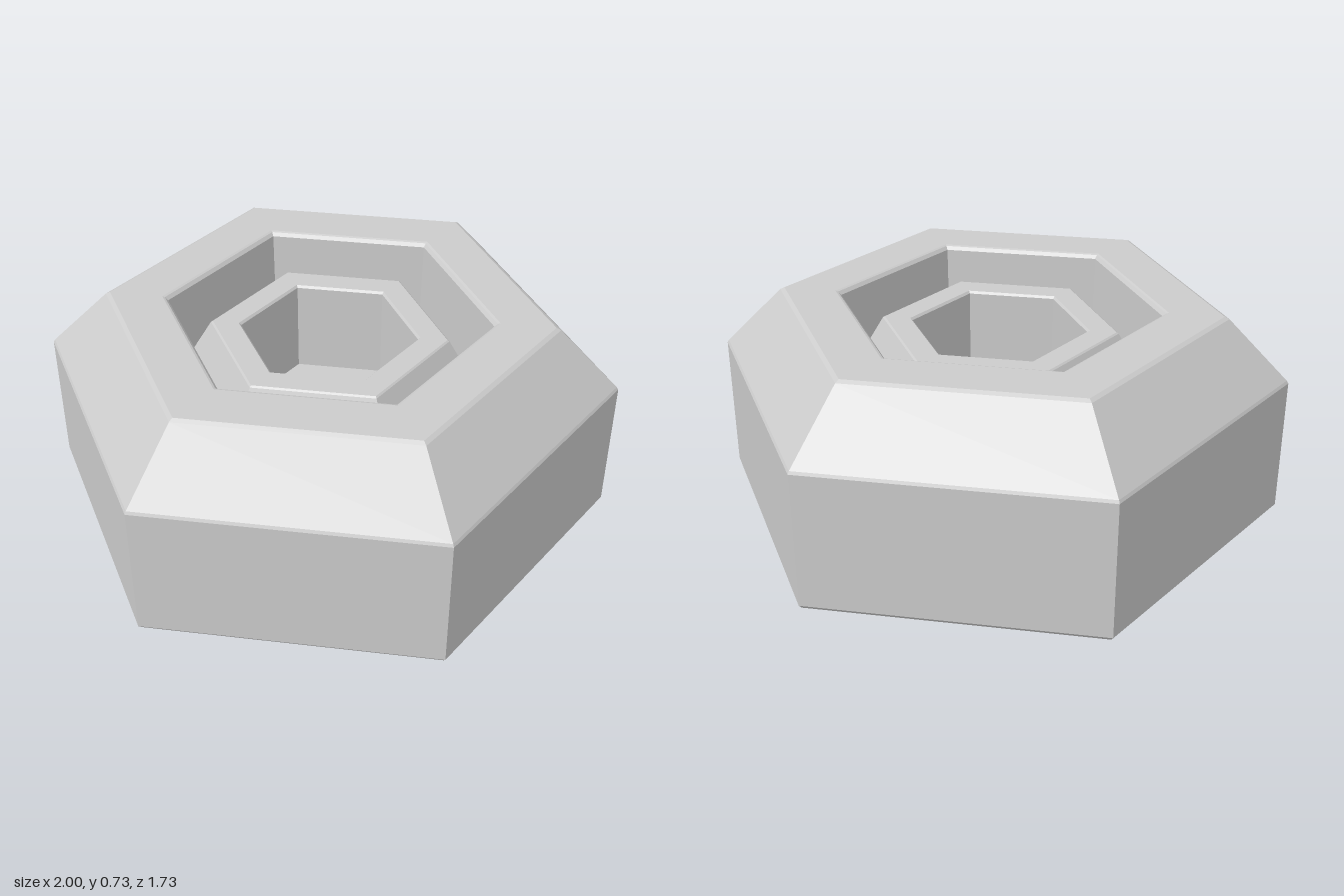
import * as THREE from 'three';

const material = new THREE.MeshStandardMaterial({ color: 0xcccccc, flatShading: true });

// Six-sided lathe with corners on the x axis; profile is [corner radius, height]
function hexPart(name, profile) {
  const points = profile.map(([r, y]) => new THREE.Vector2(r, y));
  const mesh = new THREE.Mesh(new THREE.LatheGeometry(points, 6, Math.PI / 2), material);
  mesh.name = name;
  return mesh;
}

export function createModel() {
  const model = new THREE.Group();
  model.name = 'hexNut';

  // Closed base, straight sides, sloped shoulder and bevelled rim down into the groove
  model.add(hexPart('outerBody', [
    [0, 0], [0.988, 0], [1, 0.014],
    [1, 0.498], [0.994, 0.508],
    [0.784, 0.722], [0.768, 0.73],
    [0.582, 0.73], [0.573, 0.727], [0.562, 0.715],
    [0.555, 0.43], [0.54, 0.425],
  ]));

  // Tapered collar rising from the groove, with a straight blind socket
  model.add(hexPart('innerCollar', [
    [0.54, 0.425], [0.415, 0.64], [0.408, 0.645],
    [0.316, 0.645], [0.308, 0.637],
    [0.308, 0.3], [0, 0.3],
  ]));

  return model;
}
